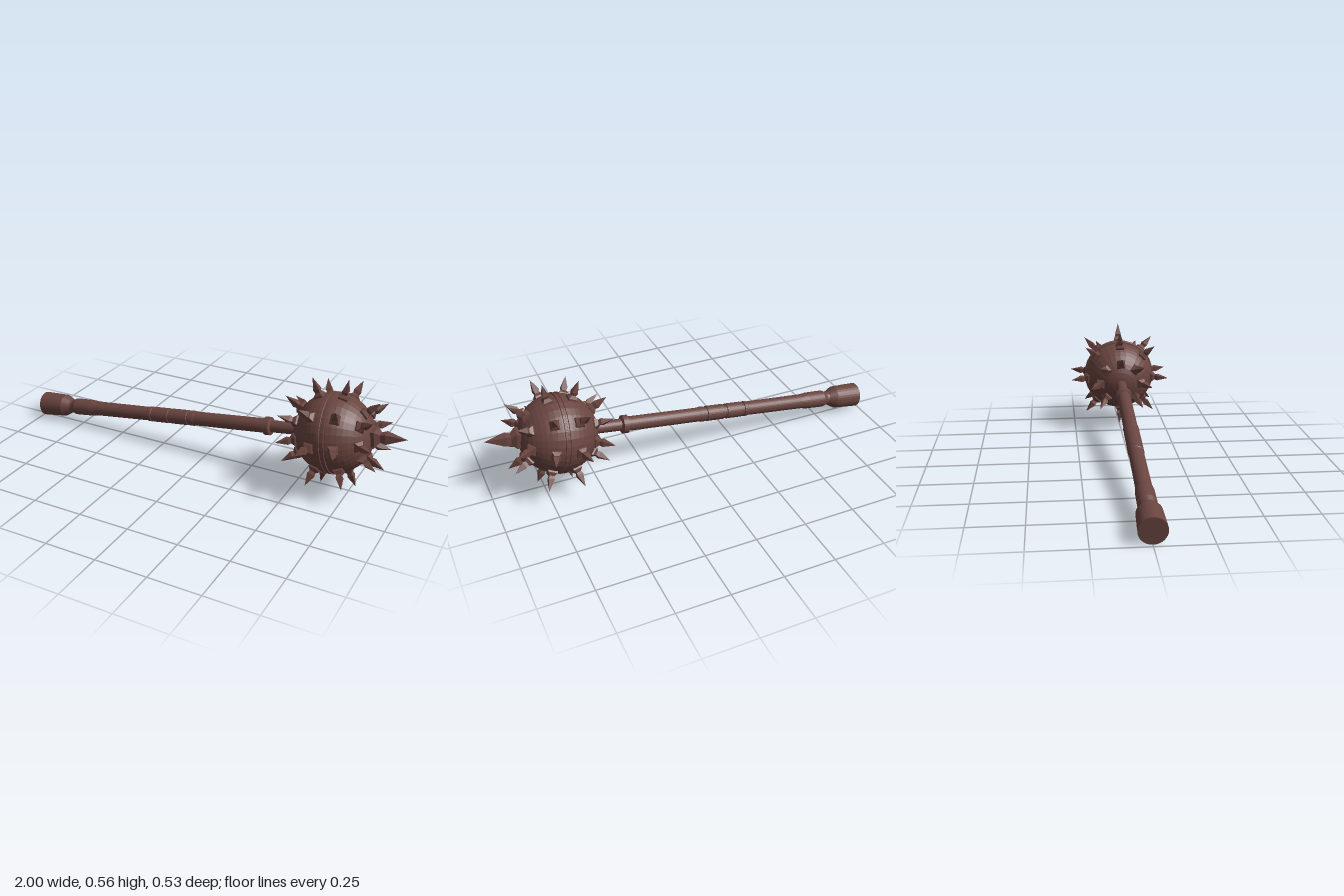
import * as THREE from 'three';

const BALL_R = 0.187;
const metal = new THREE.MeshStandardMaterial({ color: 0x6a4540, flatShading: true });

// Turned shape around the weapon's long axis; points are [radius, position]
function lathe(name, points, segments = 32) {
  const geo = new THREE.LatheGeometry(points.map(([r, s]) => new THREE.Vector2(r, s)), segments);
  const mesh = new THREE.Mesh(geo, metal);
  mesh.name = name;
  return mesh;
}

// Square spike: flared foot, narrow neck, swollen shoulder, long point
function spikeGeometry() {
  const halfWidths = [[0.022, -0.012], [0.022, 0.008], [0.011, 0.022], [0.0145, 0.037], [0, 0.096]];
  const points = halfWidths.map(([w, h]) => new THREE.Vector2(w * Math.SQRT2, h));
  return new THREE.LatheGeometry(points, 4, Math.PI / 4);
}

export function createModel() {
  const model = new THREE.Group();
  model.name = 'spikedMace';

  // Everything is built along y with the ball at the origin, then tilted
  const mace = new THREE.Group();
  mace.name = 'mace';
  mace.position.set(0.66, 0.285, 0);
  mace.rotation.z = -Math.PI / 2 + THREE.MathUtils.degToRad(7.7);
  model.add(mace);

  // Pommel
  mace.add(lathe('pommel', [
    [0, -1.665], [0.062, -1.665], [0.06, -1.6], [0.057, -1.53], [0.036, -1.49], [0.034, -1.475],
  ]));

  // Handle, with shallow grooves around the middle
  const shaft = [[0.034, -1.48], [0.043, -1.455], [0.042, -1.36], [0.037, -1.32], [0.035, -1.0]];
  for (const s of [-0.97, -0.87, -0.76]) {
    shaft.push([0.038, s - 0.025], [0.038, s - 0.008], [0.034, s - 0.006],
      [0.034, s + 0.006], [0.038, s + 0.008], [0.038, s + 0.025]);
  }
  shaft.push([0.035, -0.72], [0.035, -0.34]);
  mace.add(lathe('handle', shaft));

  // Collar and neck
  mace.add(lathe('collar', [
    [0.033, -0.349], [0.044, -0.345], [0.044, -0.318], [0.029, -0.312], [0.028, -0.17],
  ]));

  // Ball head
  const ball = new THREE.Mesh(new THREE.SphereGeometry(BALL_R, 32, 24), metal);
  ball.name = 'ball';
  mace.add(ball);

  // Raised band around the ball's middle
  mace.add(lathe('band', [
    [0.182, -0.018], [0.191, -0.016], [0.191, -0.006], [0.188, -0.004],
    [0.188, 0.004], [0.191, 0.006], [0.191, 0.016], [0.182, 0.018],
  ]));

  // Spikes: four rings of eight, and a larger one at the end
  const geo = spikeGeometry();
  const addSpike = (name, tilt, turn, size) => {
    const pivot = new THREE.Group();
    pivot.name = name;
    pivot.rotation.order = 'YZX';
    pivot.rotation.set(0, turn, -tilt);
    const spike = new THREE.Mesh(geo, metal);
    spike.name = 'spike';
    spike.position.y = BALL_R - 0.002;
    spike.scale.setScalar(size);
    pivot.add(spike);
    mace.add(pivot);
  };
  for (let ring = 1; ring <= 4; ring++) {
    for (let i = 0; i < 8; i++) addSpike('sideSpike', ring * Math.PI / 5, i * Math.PI / 4, 1);
  }
  addSpike('endSpike', 0, 0, 1.63);

  return model;
}
